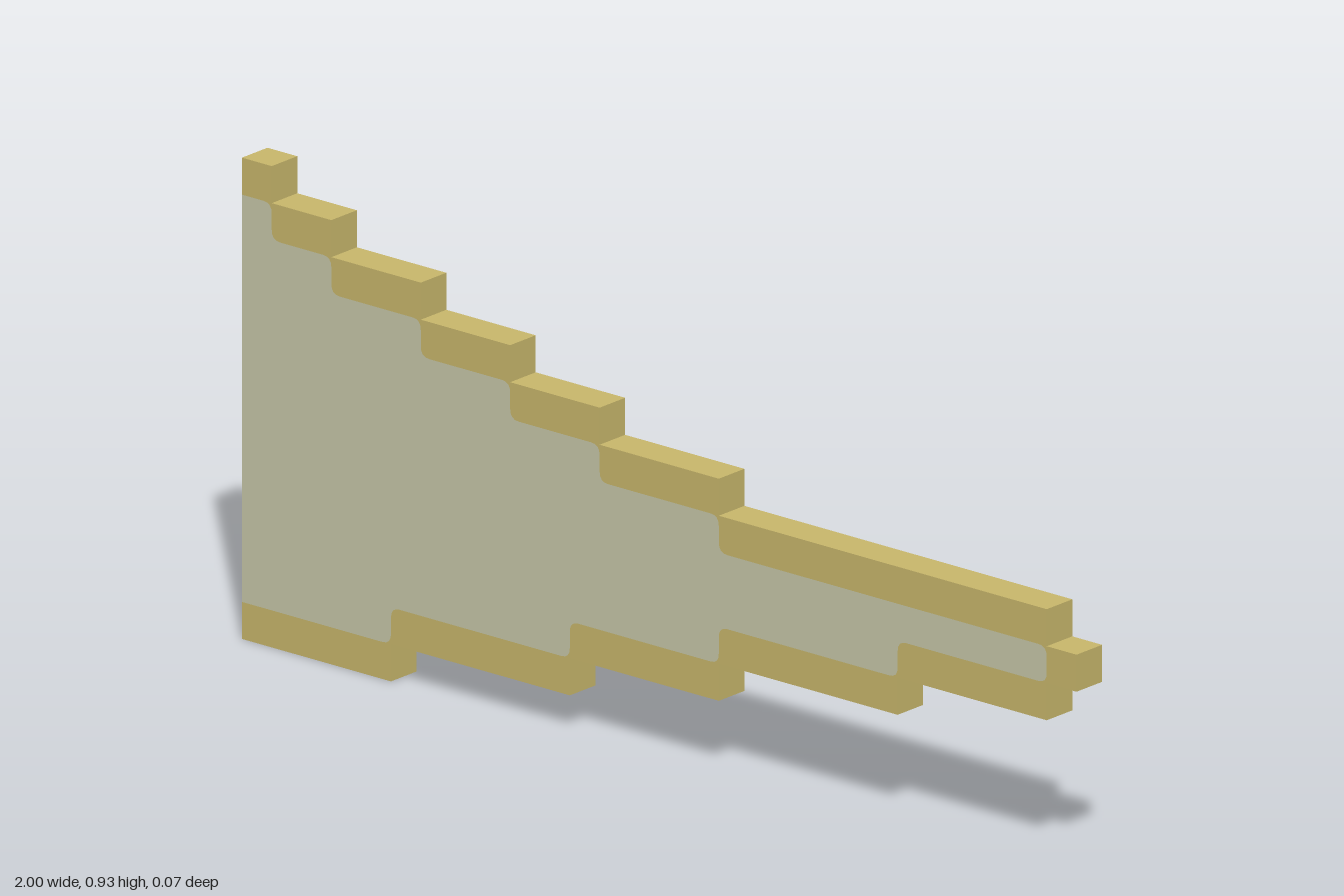
import * as THREE from 'three';

const CELL = 2 / 28; // the blade is drawn on a 28 x 13 grid of square cells
const HEIGHTS = [[1, 13], [3, 12], [6, 11], [9, 10], [12, 9], [16, 8], [27, 7]];  // [right end, top]
const DEPTHS = [[27, 4], [22, 3], [16, 2], [11, 1], [5, 0]];                      // [right end, bottom]

// Staircase along the upper edge out to the tip and back along the lower edge
function staircase(inset) {
  const pts = [];
  let x = 0;
  for (const [end, top] of HEIGHTS) {
    pts.push([x, top - inset], [end, top - inset]);
    x = end;
  }
  if (inset === 0) pts.push([27, 6], [28, 6], [28, 5], [27, 5]);
  DEPTHS.forEach(([end, bottom], i) => {
    const next = i + 1 < DEPTHS.length ? DEPTHS[i + 1][0] : 0;
    pts.push([end, bottom + inset], [next, bottom + inset]);
  });
  return pts.map(([px, py]) => new THREE.Vector2(px * CELL - 1, py * CELL));
}

// Softens every corner of an open path, keeping its two ends
function softenCorners(pts, radius) {
  const out = [pts[0]];
  for (let i = 1; i < pts.length - 1; i++) {
    const p = pts[i];
    const toward = (q) => p.clone().add(q.clone().sub(p).setLength(radius));
    const curve = new THREE.QuadraticBezierCurve(toward(pts[i - 1]), p, toward(pts[i + 1]));
    out.push(...curve.getPoints(4));
  }
  out.push(pts[pts.length - 1]);
  return out;
}

function slab(name, pts, material) {
  const geometry = new THREE.ExtrudeGeometry(new THREE.Shape(pts), { depth: CELL, bevelEnabled: false });
  geometry.translate(0, 0, -CELL / 2);
  const mesh = new THREE.Mesh(geometry, material);
  mesh.name = name;
  return mesh;
}

export function createModel() {
  const gold = new THREE.MeshStandardMaterial({ color: 0xc9b86c });
  gold.name = 'gold';
  const grey = new THREE.MeshStandardMaterial({ color: 0xc8c8aa });
  grey.name = 'pale grey';

  const outer = staircase(0);
  const inner = softenCorners(staircase(1), CELL * 0.28);

  const model = new THREE.Group();
  model.name = 'steppedWing';
  // Gold rim runs around the stepped edges; the pale panel fills it and reaches the left end
  model.add(slab('rim', [...outer, ...inner.slice().reverse()], gold));
  model.add(slab('panel', inner, grey));
  return model;
}
